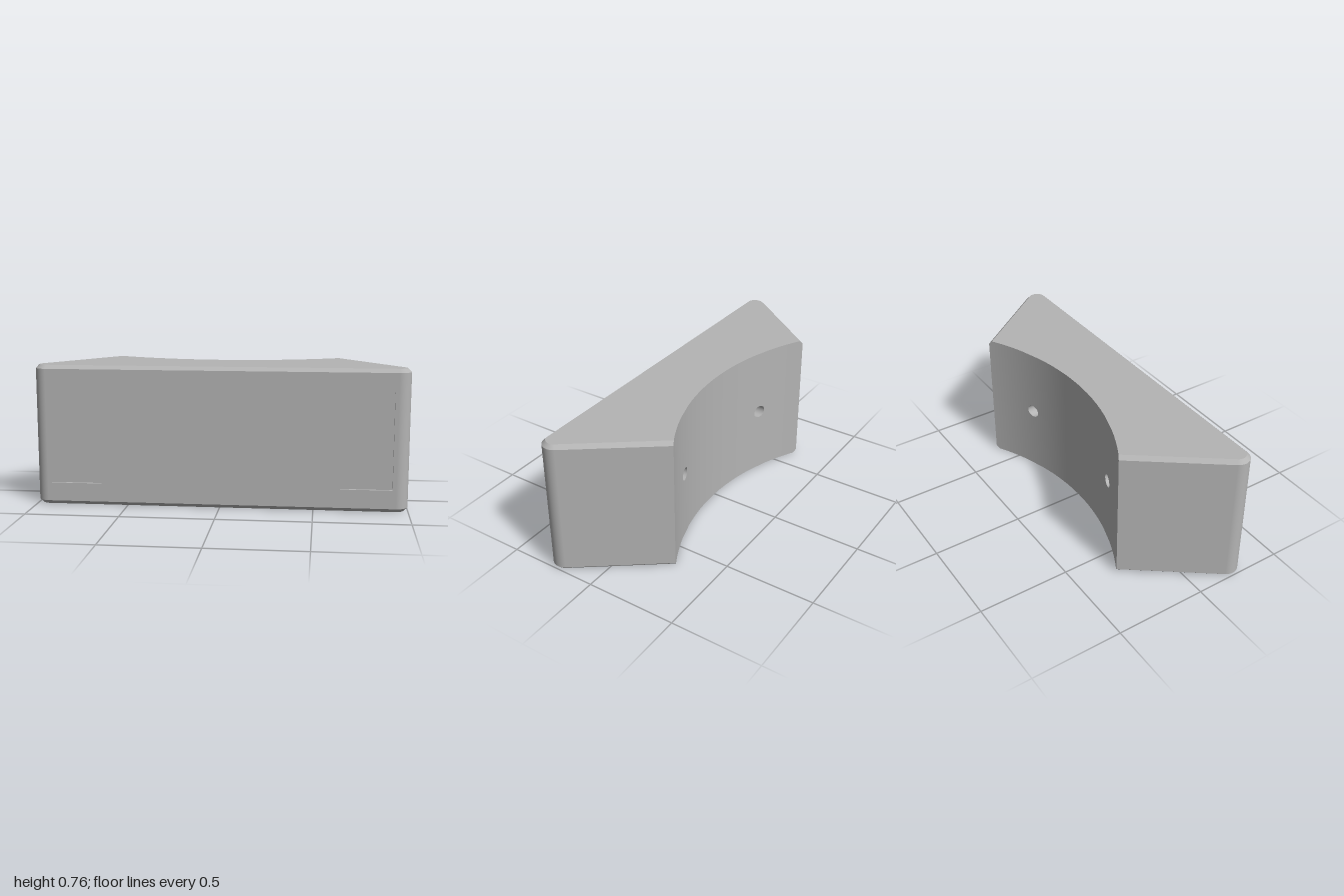
import * as THREE from 'three';

const H = 0.76, CH = 0.02;                    // height, edge chamfer
const FRONT = 0.277, RC = 0.065, CX = 1 - RC, CZ = FRONT - RC; // rounded front corners
const ARC_R = 1.264, ARC_Z = -1.364;          // concave back
const HOLE_X = 0.38, HOLE_R = 0.036, HOLE_DEPTH = 0.2, WIN = 0.06;

const arcZ = x => ARC_Z + Math.sqrt(ARC_R * ARC_R - x * x);
const arcNormal = x => [-x / ARC_R, 0, -(arcZ(x) - ARC_Z) / ARC_R];

// Collects quads with given corner normals; winding follows the normals
class Quads {
  pos = []; nor = [];
  add(p, n) {
    const v = p.map(a => new THREE.Vector3(...a));
    const face = v[2].clone().sub(v[0]).cross(v[3].clone().sub(v[1]));
    const flip = face.dot(new THREE.Vector3(...n[0])) < 0;
    for (const i of flip ? [0, 2, 1, 0, 3, 2] : [0, 1, 2, 0, 2, 3]) {
      this.pos.push(...p[i]);
      this.nor.push(...n[i]);
    }
  }
  build() {
    const g = new THREE.BufferGeometry();
    g.setAttribute('position', new THREE.Float32BufferAttribute(this.pos, 3));
    g.setAttribute('normal', new THREE.Float32BufferAttribute(this.nor, 3));
    return g;
  }
}

// Right half of the outline, back corner to front, with outward normals
function halfOutline() {
  const a0 = -0.649, n = 14, pts = [];
  const side = [Math.cos(a0), Math.sin(a0)];
  pts.push({ x: 0.645, z: -0.277, ix: 0.628, iz: arcZ(0.628), n: side });
  for (let i = 0; i <= n; i++) {
    const a = a0 + (Math.PI / 2 - a0) * i / n, c = Math.cos(a), s = Math.sin(a);
    pts.push({ x: CX + RC * c, z: CZ + RC * s, ix: CX + (RC - CH) * c, iz: CZ + (RC - CH) * s, n: [c, s] });
  }
  return pts;
}

function rectPath(x0, x1, y0, y1, Type = THREE.Path) {
  return new Type([[x0, y0], [x1, y0], [x1, y1], [x0, y1]].map(p => new THREE.Vector2(...p)));
}

export function createModel() {
  const group = new THREE.Group();
  const grey = new THREE.MeshStandardMaterial({ color: 0xb4b4b4 });
  grey.name = 'plain grey';
  const add = (name, geometry) => {
    const m = new THREE.Mesh(geometry, grey);
    m.name = name;
    group.add(m);
    return m;
  };

  // Slanted sides, rounded corners and chamfers
  const half = halfOutline();
  const mirrored = half.map(p => ({ ...p, x: -p.x, ix: -p.ix, n: [-p.n[0], p.n[1]] })).reverse();
  const outline = [...half, ...mirrored];
  const sides = new Quads(), chamfers = new Quads(), k = Math.SQRT1_2;
  for (let i = 0; i < outline.length - 1; i++) {
    const a = outline[i], b = outline[i + 1];
    const na = [a.n[0], 0, a.n[1]], nb = [b.n[0], 0, b.n[1]];
    if (i !== half.length - 1) {
      sides.add([[a.x, CH, a.z], [b.x, CH, b.z], [b.x, H - CH, b.z], [a.x, H - CH, a.z]], [na, nb, nb, na]);
    }
    for (const s of [-1, 1]) {
      const y = s > 0 ? H : 0, ca = [na[0] * k, s * k, na[2] * k], cb = [nb[0] * k, s * k, nb[2] * k];
      chamfers.add([[a.x, y - s * CH, a.z], [b.x, y - s * CH, b.z], [b.ix, y, b.iz], [a.ix, y, a.iz]], [ca, cb, cb, ca]);
    }
  }
  add('sides', sides.build());
  add('chamfers', chamfers.build());

  // Front face with two shallow rectangular recesses
  const front = rectPath(-CX, CX, CH, H - CH, THREE.Shape);
  const recess = new Quads(), y0 = 0.12, y1 = 0.64, zf = FRONT - 0.015;
  for (const s of [-1, 1]) {
    const x0 = s * 0.64, x1 = s * 0.915;
    front.holes.push(rectPath(x0, x1, y0, y1));
    const quad = (p, n) => recess.add(p, [n, n, n, n]);
    quad([[x0, y0, zf], [x1, y0, zf], [x1, y1, zf], [x0, y1, zf]], [0, 0, 1]);
    for (const [x, d] of [[x0, s], [x1, -s]])
      quad([[x, y0, zf], [x, y1, zf], [x, y1, FRONT], [x, y0, FRONT]], [d, 0, 0]);
    for (const [y, d] of [[y0, 1], [y1, -1]])
      quad([[x0, y, zf], [x1, y, zf], [x1, y, FRONT], [x0, y, FRONT]], [0, d, 0]);
  }
  add('frontFace', new THREE.ShapeGeometry(front).translate(0, 0, FRONT));
  add('frontRecesses', recess.build());

  // Concave back wall in columns, leaving a strip open around each hole
  const right = [0, 0.055, 0.11, 0.165, 0.22, 0.27, HOLE_X - WIN, HOLE_X + WIN, 0.49, 0.54, 0.585, 0.628];
  const xs = [...right.slice(1).map(x => -x).reverse(), ...right];
  const back = new Quads();
  const column = (a, b, ya, yb) => {
    const na = arcNormal(a), nb = arcNormal(b);
    back.add([[a, ya, arcZ(a)], [b, yb, arcZ(b)], [b, H - yb, arcZ(b)], [a, H - ya, arcZ(a)]], [na, nb, nb, na]);
  };
  for (let i = 0; i < xs.length - 1; i++) {
    if (Math.abs(Math.abs(xs[i] + xs[i + 1]) / 2 - HOLE_X) > 0.01) column(xs[i], xs[i + 1], 0, 0);
  }
  column(0.628, 0.645, 0, CH);
  column(-0.645, -0.628, CH, 0);
  add('backWall', back.build());

  // Blind round holes in the back
  for (const s of [-1, 1]) {
    const cx = s * HOLE_X, cy = H / 2, n = 28, rim = [];
    for (let i = 0; i < n; i++) {
      const a = i / n * Math.PI * 2;
      rim.push([HOLE_R * Math.cos(a), HOLE_R * Math.sin(a)]);
    }
    const strip = rectPath(-cx - WIN, -cx + WIN, 0, H, THREE.Shape);
    strip.holes.push(new THREE.Path(rim.map(p => new THREE.Vector2(p[0] - cx, p[1] + cy))));
    const g = new THREE.ShapeGeometry(strip);
    const pos = g.attributes.position, nor = g.attributes.normal;
    for (let i = 0; i < pos.count; i++) { // mirror in x to face backwards, then bend onto the arc
      const x = -pos.getX(i);
      pos.setXYZ(i, x, pos.getY(i), arcZ(x));
      nor.setXYZ(i, ...arcNormal(x));
    }
    add('backHoleSurround', g);

    const bore = new Quads(), zEnd = arcZ(cx) + HOLE_DEPTH;
    rim.forEach((p, i) => {
      const q = rim[(i + 1) % n];
      const np = [-p[0] / HOLE_R, -p[1] / HOLE_R, 0], nq = [-q[0] / HOLE_R, -q[1] / HOLE_R, 0];
      const px = cx + p[0], py = cy + p[1], qx = cx + q[0], qy = cy + q[1];
      bore.add([[px, py, arcZ(px)], [qx, qy, arcZ(qx)], [qx, qy, zEnd], [px, py, zEnd]], [np, nq, nq, np]);
    });
    add('backHole', bore.build());
    add('backHoleEnd', new THREE.CircleGeometry(HOLE_R, n).rotateY(Math.PI).translate(cx, cy, zEnd));
  }

  // Top and bottom faces
  const cap = sign => new THREE.Shape([
    ...outline.map(p => new THREE.Vector2(p.ix, sign * p.iz)),
    ...xs.slice(1, -1).map(x => new THREE.Vector2(x, sign * arcZ(x))),
  ]);
  add('topFace', new THREE.ShapeGeometry(cap(-1)).rotateX(-Math.PI / 2).translate(0, H, 0));
  add('bottomFace', new THREE.ShapeGeometry(cap(1)).rotateX(Math.PI / 2));

  return group;
}
